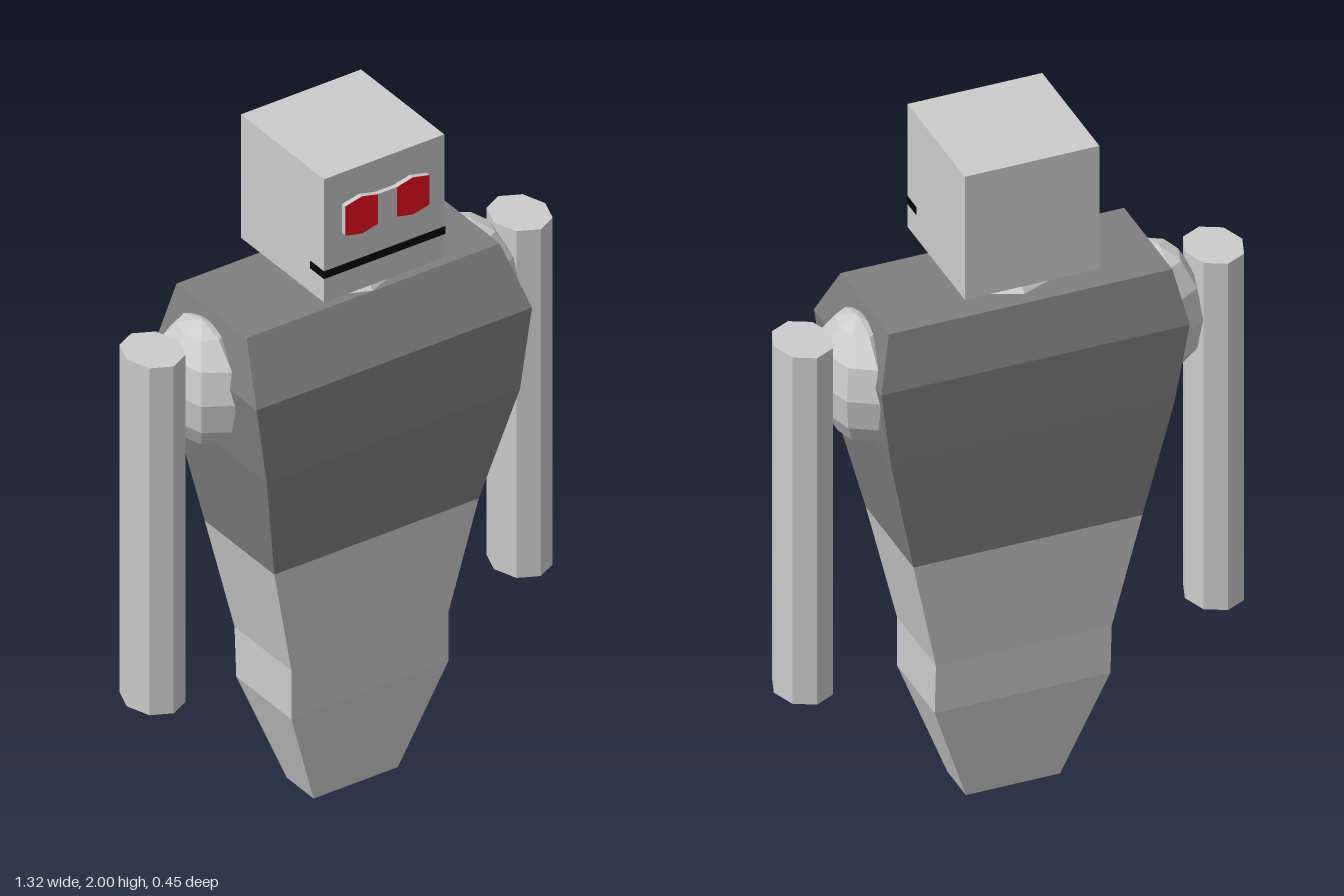
import * as THREE from 'three';

const mat = (color) => new THREE.MeshStandardMaterial({ color, flatShading: true });

function add(parent, name, geometry, material, x = 0, y = 0, z = 0) {
  const mesh = new THREE.Mesh(geometry, material);
  mesh.name = name;
  mesh.position.set(x, y, z);
  parent.add(mesh);
  return mesh;
}

// Lofts rectangular sections [y, halfWidth, frontZ, backZ] from bottom to top.
function loftBox(sections) {
  const pos = [], idx = [];
  for (const [y, w, f, b] of sections) pos.push(w, y, f, w, y, b, -w, y, b, -w, y, f);
  for (let i = 0; i < sections.length - 1; i++) {
    for (let j = 0; j < 4; j++) {
      const a = i * 4 + j, b = i * 4 + (j + 1) % 4;
      idx.push(a, b, b + 4, a, b + 4, a + 4);
    }
  }
  const t = (sections.length - 1) * 4;
  idx.push(t, t + 1, t + 2, t, t + 2, t + 3, 0, 2, 1, 0, 3, 2);
  const indexed = new THREE.BufferGeometry();
  indexed.setAttribute('position', new THREE.Float32BufferAttribute(pos, 3));
  indexed.setIndex(idx);
  const geometry = indexed.toNonIndexed();
  geometry.computeVertexNormals();
  return geometry;
}

// Extrudes a flat outline forward along z.
function plate(points, depth) {
  const shape = new THREE.Shape(points.map(([x, y]) => new THREE.Vector2(x, y)));
  return new THREE.ExtrudeGeometry(shape, { depth, bevelEnabled: false });
}

export function createModel() {
  const model = new THREE.Group();
  model.name = 'robot';
  const grey = mat(0xcccccc), dark = mat(0x808080), red = mat(0xee1020), black = mat(0x050505);

  // Body: dark chest over a lighter tapering lower body
  add(model, 'chest', loftBox([
    [0.81, 0.323, 0.145, -0.173],
    [1.16, 0.4, 0.222, -0.205],
    [1.4, 0.435, 0.226, -0.224],
    [1.56, 0.4, 0.13, -0.19],
  ]), dark);
  add(model, 'lowerBody', loftBox([
    [0, 0.133, 0.05, -0.073],
    [0.32, 0.248, 0.115, -0.137],
    [0.47, 0.248, 0.115, -0.145],
    [0.81, 0.323, 0.145, -0.173],
  ]), grey);

  // Neck and head
  add(model, 'neck', new THREE.SphereGeometry(0.16, 8, 6), grey, 0, 1.48, -0.01);
  add(model, 'head', new THREE.BoxGeometry(0.38, 0.38, 0.38), grey, 0, 1.81, -0.01);
  add(model, 'mouth', new THREE.BoxGeometry(0.384, 0.022, 0.063), black, 0, 1.705, 0.151);

  // Goggles: grey frames and bridge with red lenses
  const lens = [[0.03, -0.045], [0.08, -0.057], [0.133, -0.045],
    [0.133, 0.045], [0.08, 0.057], [0.03, 0.045]];
  const goggles = new THREE.Group();
  goggles.name = 'goggles';
  goggles.position.set(0, 1.858, 0.175);
  model.add(goggles);
  add(goggles, 'bridge', new THREE.BoxGeometry(0.06, 0.09, 0.019), grey, 0, 0, 0.0095);
  for (const s of [1, -1]) {
    const outline = lens.map(([x, y]) => [x * s, y]);
    add(goggles, 'eyeFrame', plate(outline, 0.019), grey);
    add(goggles, 'eyeLens', plate(outline, 0.001), red, 0, 0, 0.0195);
  }

  // Flattened shoulders and straight arms
  for (const s of [1, -1]) {
    const side = s > 0 ? 'left' : 'right';
    add(model, side + 'Shoulder', new THREE.SphereGeometry(1, 8, 6), grey, s * 0.425, 1.355, -0.04)
      .scale.set(0.11, 0.185, 0.16);
    add(model, side + 'Arm', new THREE.CylinderGeometry(1, 1, 1.07, 8), grey, s * 0.58, 0.965, -0.04)
      .scale.set(0.081, 1, 0.097);
  }
  return model;
}
